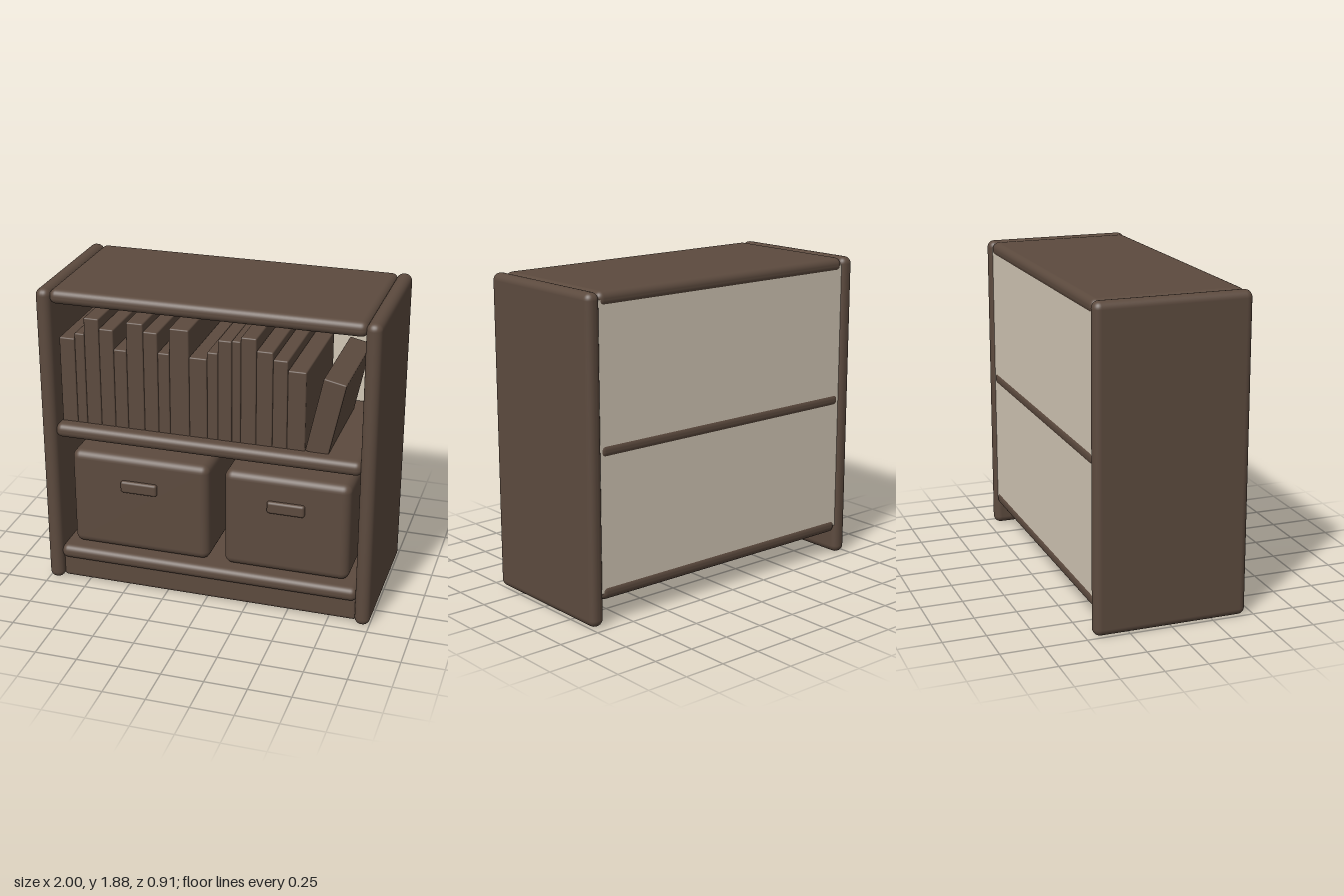
import * as THREE from 'three';
import { RoundedBoxGeometry } from 'three/addons/geometries/RoundedBoxGeometry.js';

export function createModel() {
  const model = new THREE.Group();
  model.name = 'bookcase';

  const brown = new THREE.MeshStandardMaterial({ color: 0x5c4a3e });
  brown.name = 'dark brown';
  const cream = new THREE.MeshStandardMaterial({ color: 0xd3c8b6 });
  cream.name = 'cream';

  // Rounded block given by its extents on each axis
  function block(name, [x0, x1], [y0, y1], [z0, z1], radius, segments = 4, material = brown) {
    const w = x1 - x0, h = y1 - y0, d = z1 - z0;
    const geometry = radius > 0
      ? new RoundedBoxGeometry(w, h, d, segments, radius)
      : new THREE.BoxGeometry(w, h, d);
    const mesh = new THREE.Mesh(geometry, material);
    mesh.name = name;
    mesh.position.set((x0 + x1) / 2, (y0 + y1) / 2, (z0 + z1) / 2);
    model.add(mesh);
    return mesh;
  }

  // Upright sides
  block('leftSide', [0.91, 1], [0, 1.875], [-0.455, 0.455], 0.042);
  block('rightSide', [-1, -0.91], [0, 1.875], [-0.455, 0.455], 0.042);

  // Top, middle shelf and bottom shelf
  for (const [name, y] of [['top', 1.83], ['middleShelf', 0.998], ['bottomShelf', 0.185]]) {
    block(name, [-0.92, 0.92], [y - 0.044, y + 0.044], [-0.443, 0.443], 0.04);
  }

  // Plinth board under the bottom shelf, and the back panel
  block('plinth', [-0.92, 0.92], [0.006, 0.16], [0.335, 0.41], 0.025);
  block('backPanel', [-0.92, 0.92], [0.185, 1.83], [-0.436, -0.415], 0, 1, cream);

  // Storage boxes with handles
  for (const [x0, x1, handleX] of [[-0.855, 0, -0.428], [0.093, 0.85, 0.472]]) {
    block('storageBox', [x0, x1], [0.228, 0.847], [-0.36, 0.368], 0.05);
    block('boxHandle', [handleX - 0.113, handleX + 0.113], [0.62, 0.695], [0.35, 0.39], 0.015, 2);
  }

  // Row of upright books: dividing lines and top heights
  const edges = [-0.895, -0.8, -0.74, -0.65, -0.563, -0.484, -0.383, -0.297, -0.227,
    -0.11, -0.003, 0.061, 0.142, 0.195, 0.286, 0.382, 0.468, 0.575];
  const tops = [1.565, 1.6, 1.7, 1.643, 1.527, 1.7, 1.655, 1.537, 1.692,
    1.532, 1.575, 1.655, 1.66, 1.687, 1.617, 1.575, 1.52];
  tops.forEach((top, i) => {
    block('book', [edges[i], edges[i + 1]], [1.035, top], [-0.3, 0.368], 0.008, 2);
  });

  // Book leaning against the row
  const leaning = block('leaningBook', [0.623, 0.757], [1.025, 1.489], [-0.3, 0.368], 0.008, 2);
  leaning.rotation.z = -0.21;

  return model;
}
